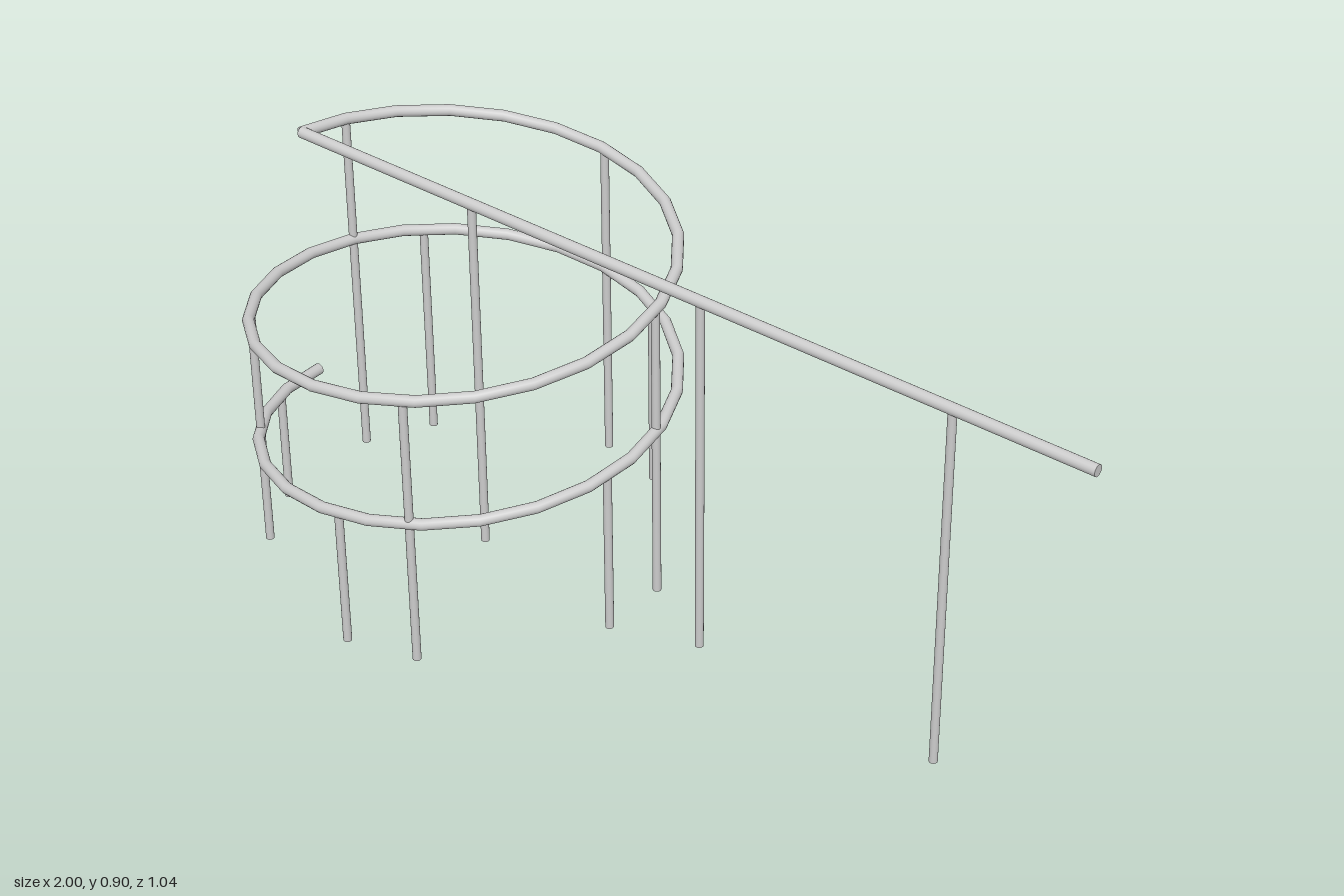
import * as THREE from 'three';

const CX = -0.521, CZ = -0.041;      // spiral axis
const R = 0.469, TUBE = 0.0132, POST = 0.0097;
const TOP = 0.885, PITCH = 0.312;
const STEP = 15, TURN = 720, SIDES = 16;

// Corner of the spiral, t degrees along it (0 = lower end)
function corner(t) {
  const a = THREE.MathUtils.degToRad(200 - t);
  return new THREE.Vector3(
    CX + R * Math.cos(a), TOP - PITCH * (TURN - t) / 360, CZ + R * Math.sin(a));
}

// Point on the straight segments between the corners
function onSpiral(t) {
  const t0 = Math.floor(t / STEP) * STEP;
  return corner(t0).lerp(corner(t0 + STEP), (t - t0) / STEP);
}

// Faceted helical tube: one ring of vertices per corner, plus end caps
function spiralGeometry() {
  const pos = [], index = [];
  const up = new THREE.Vector3(0, 1, 0);
  const rings = TURN / STEP;
  const addRing = (t) => {
    const c = corner(t);
    const out = new THREE.Vector3(c.x - CX, 0, c.z - CZ).normalize();
    for (let j = 0; j < SIDES; j++) {
      const a = j / SIDES * Math.PI * 2;
      const p = c.clone().addScaledVector(out, TUBE * Math.cos(a)).addScaledVector(up, TUBE * Math.sin(a));
      pos.push(p.x, p.y, p.z);
    }
  };
  for (let i = 0; i <= rings; i++) addRing(i * STEP);
  for (let i = 0; i < rings; i++) {
    for (let j = 0; j < SIDES; j++) {
      const a = i * SIDES + j, b = i * SIDES + (j + 1) % SIDES;
      index.push(a, b, a + SIDES, b, b + SIDES, a + SIDES);
    }
  }
  // caps have their own vertices so that their rims stay sharp
  const start = pos.length / 3;
  addRing(0);
  addRing(TURN);
  for (let j = 1; j < SIDES - 1; j++) {
    index.push(start, start + j + 1, start + j);
    index.push(start + SIDES, start + SIDES + j, start + SIDES + j + 1);
  }
  const g = new THREE.BufferGeometry();
  g.setAttribute('position', new THREE.Float32BufferAttribute(pos, 3));
  g.setIndex(index);
  g.computeVertexNormals();
  return g;
}

// Round bar between two points
function rod(a, b, radius, material, name) {
  const d = b.clone().sub(a);
  const m = new THREE.Mesh(new THREE.CylinderGeometry(radius, radius, d.length(), SIDES), material);
  m.position.copy(a).add(b).multiplyScalar(0.5);
  m.quaternion.setFromUnitVectors(new THREE.Vector3(0, 1, 0), d.normalize());
  m.name = name;
  return m;
}

export function createModel() {
  const group = new THREE.Group();
  group.name = 'spiralTrack';
  const steel = new THREE.MeshStandardMaterial({ color: 0xcccccc, side: THREE.DoubleSide });
  steel.name = 'grey steel';

  // Two-turn spiral rail
  const spiral = new THREE.Mesh(spiralGeometry(), steel);
  spiral.name = 'spiralRail';
  group.add(spiral);

  // Level straight rail from the top of the spiral
  const beamStart = corner(TURN);
  const beamEnd = new THREE.Vector3(0.995, TOP, 0.505);
  group.add(rod(beamStart, beamEnd, TUBE, steel, 'straightRail'));

  // Evenly spaced support posts below both rails
  const posts = new THREE.Group();
  posts.name = 'supportPosts';
  const tops = [];
  for (let i = 0; i < 10; i++) tops.push(onSpiral(705 - i * 76.2));
  for (const x of [-0.49, 0.096, 0.682]) {
    tops.push(beamStart.clone().lerp(beamEnd, (x - beamStart.x) / (beamEnd.x - beamStart.x)));
  }
  for (const p of tops) posts.add(rod(new THREE.Vector3(p.x, 0, p.z), p, POST, steel, 'post'));
  group.add(posts);
  return group;
}
